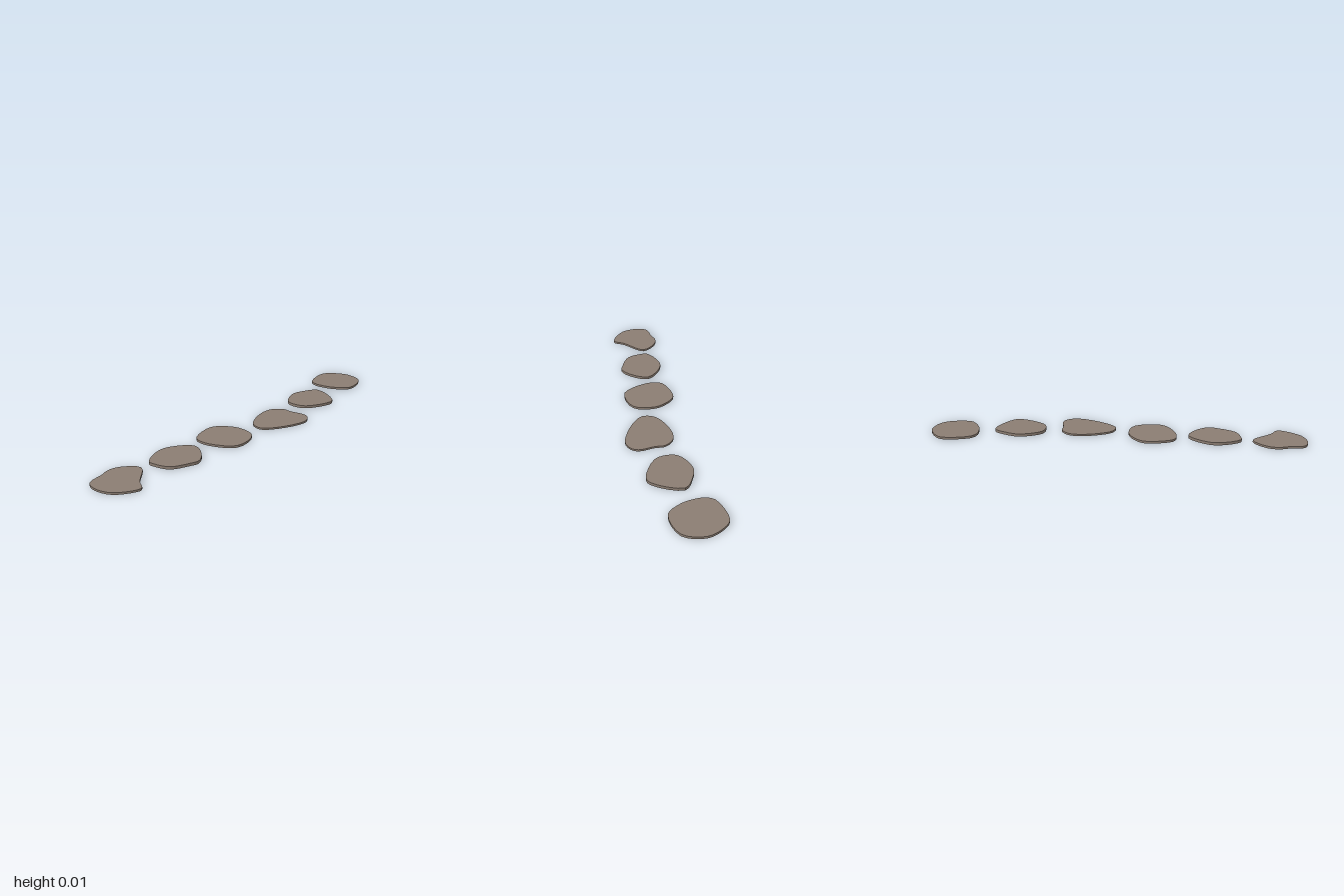
import * as THREE from 'three';

const stone = new THREE.MeshStandardMaterial({ color: 0x8b7d72 });
stone.name = 'warm grey stone';

// Flat slab lying on y = 0, its smooth closed outline drawn through a few x, z pairs
function makeStone(name, height, ...outline) {
  const points = outline.map(([x, z]) => new THREE.Vector3(x, -z, 0));
  const curve = new THREE.CatmullRomCurve3(points, true, 'centripetal');
  const ring = curve.getPoints(points.length * 4).slice(0, -1);
  const shape = new THREE.Shape(ring.map((p) => new THREE.Vector2(p.x, p.y)));
  const geometry = new THREE.ExtrudeGeometry(shape, { depth: height, bevelEnabled: false });
  geometry.rotateX(-Math.PI / 2);
  const slab = new THREE.Mesh(geometry, stone);
  slab.name = name;
  return slab;
}

export function createModel() {
  const model = new THREE.Group();
  model.name = 'steppingStonePath';

  // Six stones from the model's right to its left
  model.add(
    makeStone('firstStone', 0.011, [-1, -0.15], [-0.97, -0.207], [-0.88, -0.217], [-0.835, -0.227], [-0.775, -0.207],
      [-0.717, -0.12], [-0.83, -0.025], [-0.87, 0.025], [-0.9, 0.02], [-0.985, -0.055]),
    makeStone('secondStone', 0.015, [-0.655, -0.125], [-0.535, -0.17], [-0.465, -0.15], [-0.385, -0.06], [-0.44, 0.03],
      [-0.51, 0.067], [-0.555, 0.05], [-0.64, -0.005], [-0.66, -0.08]),
    makeStone('thirdStone', 0.012, [-0.315, -0.095], [-0.285, -0.125], [-0.15, -0.14], [-0.1, -0.095], [-0.068, -0.01],
      [-0.105, 0.1], [-0.255, 0.113], [-0.32, -0.015]),
    makeStone('fourthStone', 0.01, [0, 0.08], [0.02, 0.02], [0.085, -0.015], [0.19, -0.032], [0.255, -0.015],
      [0.293, 0.04], [0.288, 0.085], [0.293, 0.175], [0.27, 0.21], [0.21, 0.226], [0.06, 0.15]),
    makeStone('fifthStone', 0.015, [0.38, 0.065], [0.4, 0], [0.515, -0.04], [0.585, -0.015], [0.655, 0.045],
      [0.575, 0.19], [0.53, 0.203], [0.4, 0.125]),
    makeStone('sixthStone', 0.012, [0.745, -0.025], [0.775, -0.065], [0.92, -0.08], [0.965, -0.04], [1, 0.055],
      [0.955, 0.16], [0.81, 0.177], [0.76, 0.11], [0.743, 0.05]),
  );
  return model;
}
